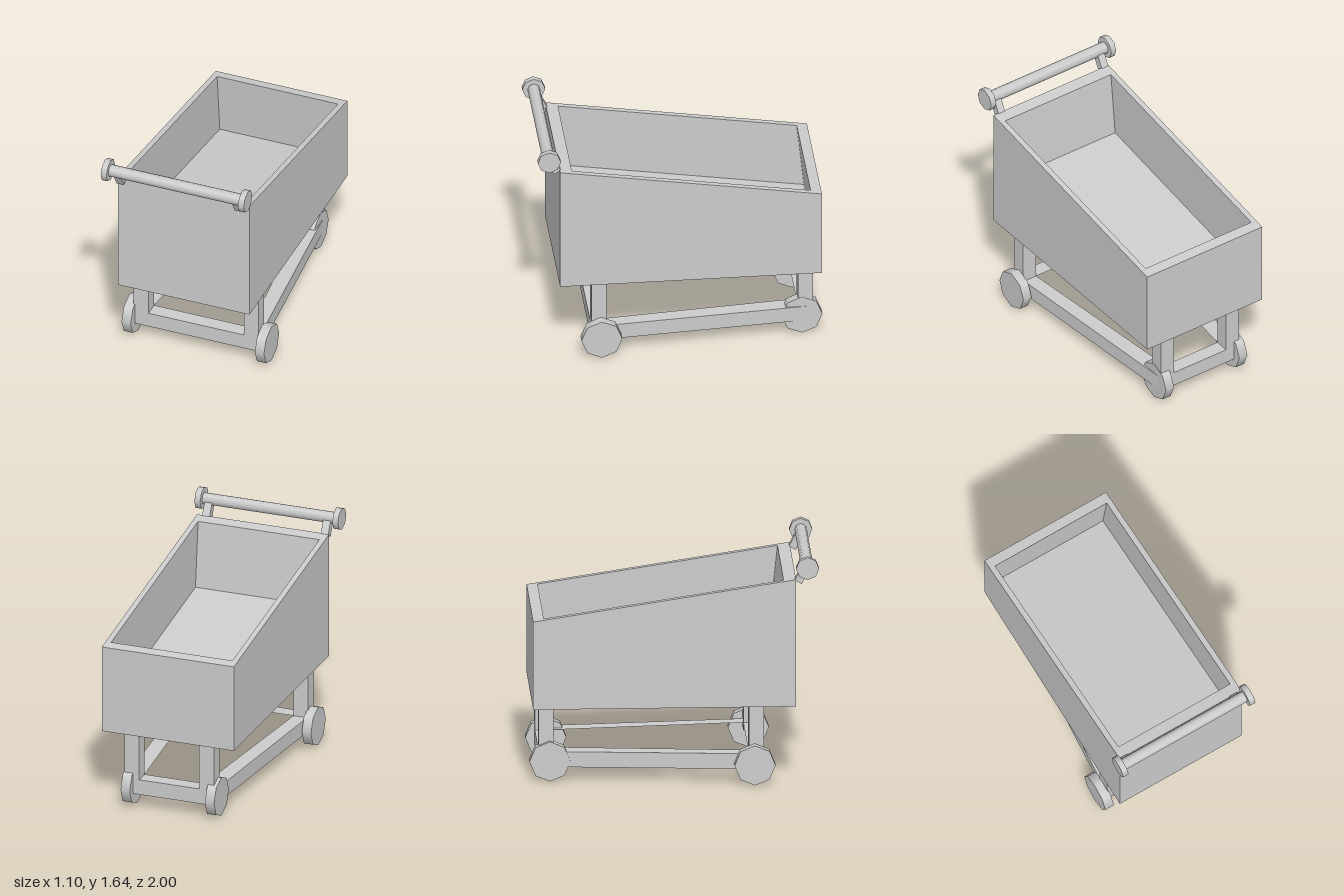
import * as THREE from 'three';

const material = new THREE.MeshStandardMaterial({ color: 0xcccccc });
const flatMaterial = new THREE.MeshStandardMaterial({ color: 0xcccccc, flatShading: true });

function add(parent, name, geometry, mat = flatMaterial) {
  const mesh = new THREE.Mesh(geometry, mat);
  mesh.name = name;
  parent.add(mesh);
  return mesh;
}

// Box given by its lower and upper limits on each axis
function boxBetween(x0, x1, y0, y1, z0, z1) {
  return new THREE.BoxGeometry(x1 - x0, y1 - y0, z1 - z0)
    .translate((x0 + x1) / 2, (y0 + y1) / 2, (z0 + z1) / 2);
}

// Eight-sided cylinder lying along x
function rod(x0, x1, radius, y, z) {
  return new THREE.CylinderGeometry(radius, radius, x1 - x0, 8)
    .rotateZ(Math.PI / 2).translate((x0 + x1) / 2, y, z);
}

// Height of the slanted basket rim at depth z
const rimY = (z) => 1.185 + (z + 0.98) * 0.154;

// Rectangular ring of four corners, counterclockwise seen from above
function ring(x0, x1, z0, z1, height, shift = 0) {
  return [[x0, z1], [x1, z1], [x1, z0], [x0, z0]].map(([x, z]) => [x, height(z), z + shift]);
}

// Open tub: outer walls, rim, inner walls, sloping floor and underside
function basketGeometry() {
  const rings = [
    ring(-0.485, 0.495, -0.98, 0.84, () => 0.555),
    ring(-0.485, 0.495, -0.98, 0.84, rimY),
    ring(-0.445, 0.455, -0.905, 0.755, rimY),
    ring(-0.445, 0.455, -0.905, 0.755, (z) => rimY(z) - 0.475, -0.05),
  ];
  const positions = [];
  const quad = (a, b, c, d) => positions.push(...a, ...b, ...c, ...a, ...c, ...d);
  for (let r = 0; r < 3; r++) {
    for (let i = 0; i < 4; i++) {
      const j = (i + 1) % 4;
      quad(rings[r][i], rings[r][j], rings[r + 1][j], rings[r + 1][i]);
    }
  }
  quad(...rings[3]);
  quad(...[...rings[0]].reverse());
  const geometry = new THREE.BufferGeometry();
  geometry.setAttribute('position', new THREE.Float32BufferAttribute(positions, 3));
  geometry.computeVertexNormals();
  return geometry;
}

// Tapered base frame, narrower at the back
function frameGeometry() {
  const points = (list) => list.map(([x, z]) => new THREE.Vector2(x, z));
  const shape = new THREE.Shape(points([[-0.455, 0.62], [0.475, 0.62], [0.345, -0.935], [-0.32, -0.935]]));
  shape.holes.push(new THREE.Path(points([[-0.345, 0.515], [0.365, 0.515], [0.235, -0.83], [-0.21, -0.83]])));
  return new THREE.ExtrudeGeometry(shape, { depth: 0.11, bevelEnabled: false })
    .rotateX(Math.PI / 2).translate(0, 0.21, 0);
}

export function createModel() {
  const cart = new THREE.Group();
  cart.name = 'shoppingCart';

  add(cart, 'basket', basketGeometry());
  add(cart, 'baseFrame', frameGeometry());

  // Legs and wheels: leg x, leg z, wheel x, wheel centre z
  const corners = [
    ['frontRight', -0.455, 0.515, -0.515, 0.555],
    ['frontLeft', 0.365, 0.515, 0.478, 0.555],
    ['backRight', -0.32, -0.935, -0.345, -0.857],
    ['backLeft', 0.235, -0.935, 0.28, -0.857],
  ];
  for (const [side, legX, legZ, wheelX, wheelZ] of corners) {
    add(cart, side + 'Leg', boxBetween(legX, legX + 0.11, 0.15, 0.56, legZ, legZ + 0.105));
    add(cart, side + 'Wheel', rod(wheelX, wheelX + 0.068, 0.142, 0.143, wheelZ), material);
  }

  // Push handle with end caps and two slanted struts
  const handle = new THREE.Group();
  handle.name = 'handle';
  cart.add(handle);
  const y = 1.56, z = 0.917;
  add(handle, 'handleBar', rod(-0.52, 0.48, 0.043, y, z), material);
  add(handle, 'rightEndCap', rod(-0.55, -0.508, 0.08, y, z), material);
  add(handle, 'leftEndCap', rod(0.472, 0.515, 0.08, y, z), material);
  for (const [name, x] of [['rightStrut', -0.452], ['leftStrut', 0.428]]) {
    const strut = add(handle, name, new THREE.BoxGeometry(0.055, 0.13, 0.055).translate(0, -0.065, 0));
    strut.position.set(x, y, z);
    strut.rotation.x = 0.5;
  }

  return cart;
}
